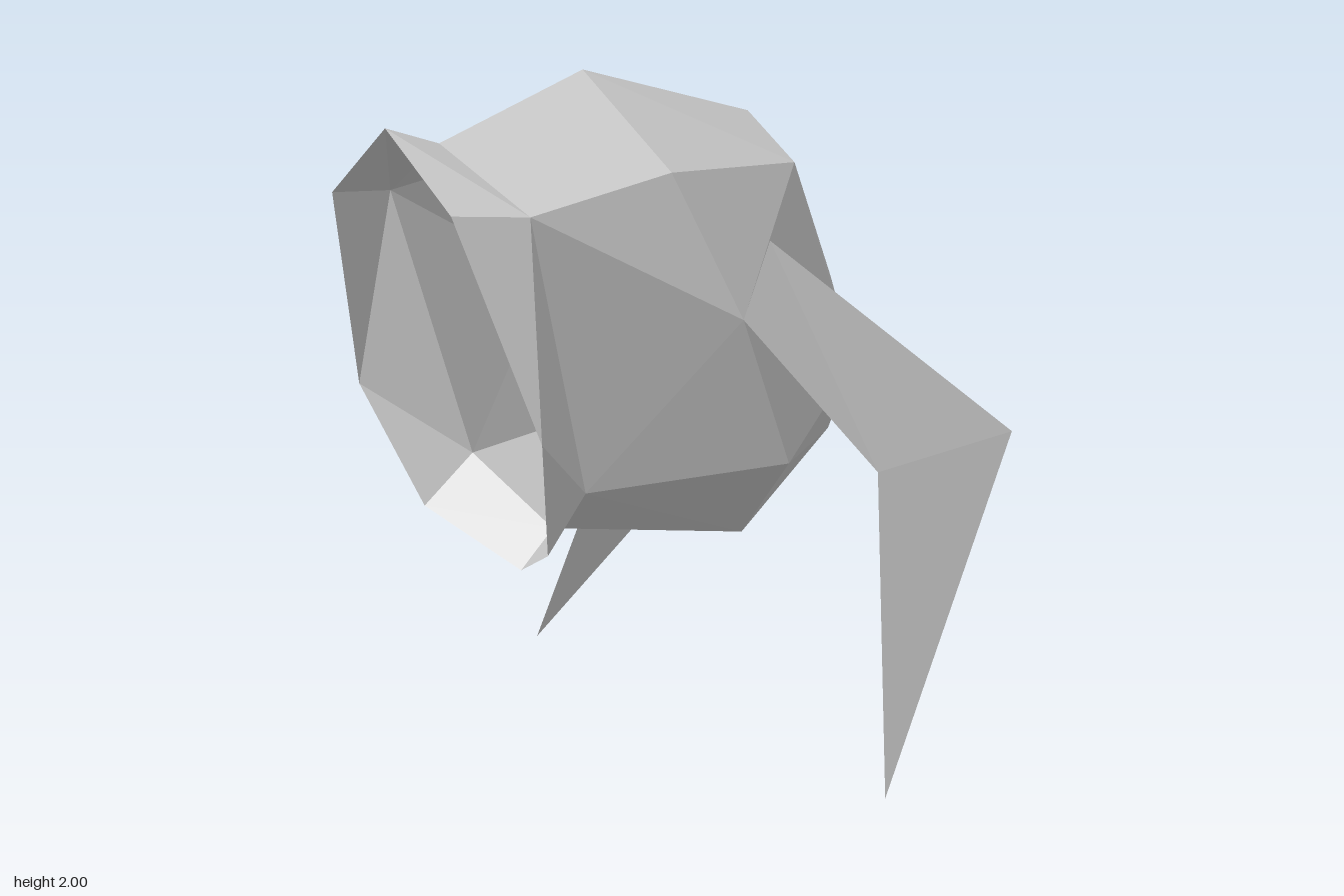
import * as THREE from 'three';

// Corner points on the +x half; points with x = 0 lie on the centre line.
const P = {
  // back and top of the shell
  crown: [0, 2, 0.27], nape: [0, 1.855, -0.33], back: [0, 1.32, -0.67],
  tail: [0, 0.83, -0.67], belly: [0, 0.545, -0.32],
  shoulder: [0.375, 1.74, 0.236], upperBack: [0.28, 1.727, -0.28],
  lowerBack: [0.28, 1.11, -0.525], hip: [0.487, 1.33, 0.07], flank: [0.455, 0.885, -0.127],
  // rim of the front opening
  rimTop: [0, 1.82, 0.745], rimUpper: [0.367, 1.653, 0.692],
  rimLower: [0.297, 0.857, 0.475], rimBottom: [0, 0.675, 0.388],
  // flared lip around the rim
  lipTop: [0, 1.87, 0.911], lipUpper: [0.32, 1.667, 0.905], lipSide: [0.49, 1.07, 0.745],
  lipLower: [0.33, 0.71, 0.625], lipBottom: [0, 0.567, 0.5],
  // folded leg plate
  legTop: [0.385, 1.525, -0.105], knee: [0.573, 0.893, -0.911],
  kneeInner: [0.62, 0.863, -0.322], foot: [0.887, 0, -0.133],
};

// Triangles of the +x half, counter-clockwise from outside
const SHELL = [
  'crown shoulder upperBack', 'crown upperBack nape', 'nape upperBack back',
  'upperBack lowerBack back', 'back lowerBack tail',
  'rimTop rimUpper shoulder', 'rimTop shoulder crown',
  'shoulder rimUpper hip', 'shoulder hip upperBack',
  'hip lowerBack upperBack', 'hip flank lowerBack',
  'rimUpper rimLower hip', 'rimLower flank hip',
  'rimLower rimBottom belly', 'rimLower belly flank',
  'lowerBack flank tail', 'flank belly tail',
];
const LIP = [
  'lipTop lipUpper rimUpper', 'lipTop rimUpper rimTop', 'lipUpper lipSide rimUpper',
  'lipSide rimLower rimUpper', 'lipSide lipLower rimLower',
  'lipLower rimBottom rimLower', 'lipLower lipBottom rimBottom',
];
const LEG = ['legTop hip kneeInner', 'legTop kneeInner knee', 'knee kneeInner foot'];

// Builds a faceted mesh from named triangles on the given sides (1 = +x, -1 = -x)
function facets(name, faces, sides, material) {
  const pos = [];
  for (const side of sides) {
    for (const face of faces) {
      const keys = face.split(' ');
      if (side < 0) keys.reverse();
      for (const k of keys) pos.push(P[k][0] * side, P[k][1], P[k][2]);
    }
  }
  const geo = new THREE.BufferGeometry();
  geo.setAttribute('position', new THREE.Float32BufferAttribute(pos, 3));
  geo.computeVertexNormals();
  const mesh = new THREE.Mesh(geo, material);
  mesh.name = name;
  return mesh;
}

export function createModel() {
  const grey = new THREE.MeshStandardMaterial({
    color: 0xc8c8c8, flatShading: true, side: THREE.DoubleSide,
  });
  grey.name = 'lightGrey';

  const model = new THREE.Group();
  model.name = 'hoodedShellWithLegs';
  model.add(
    facets('shell', SHELL, [1, -1], grey),
    facets('frontLip', LIP, [1, -1], grey),
    facets('leftLeg', LEG, [1], grey),
    facets('rightLeg', LEG, [-1], grey),
  );
  return model;
}
